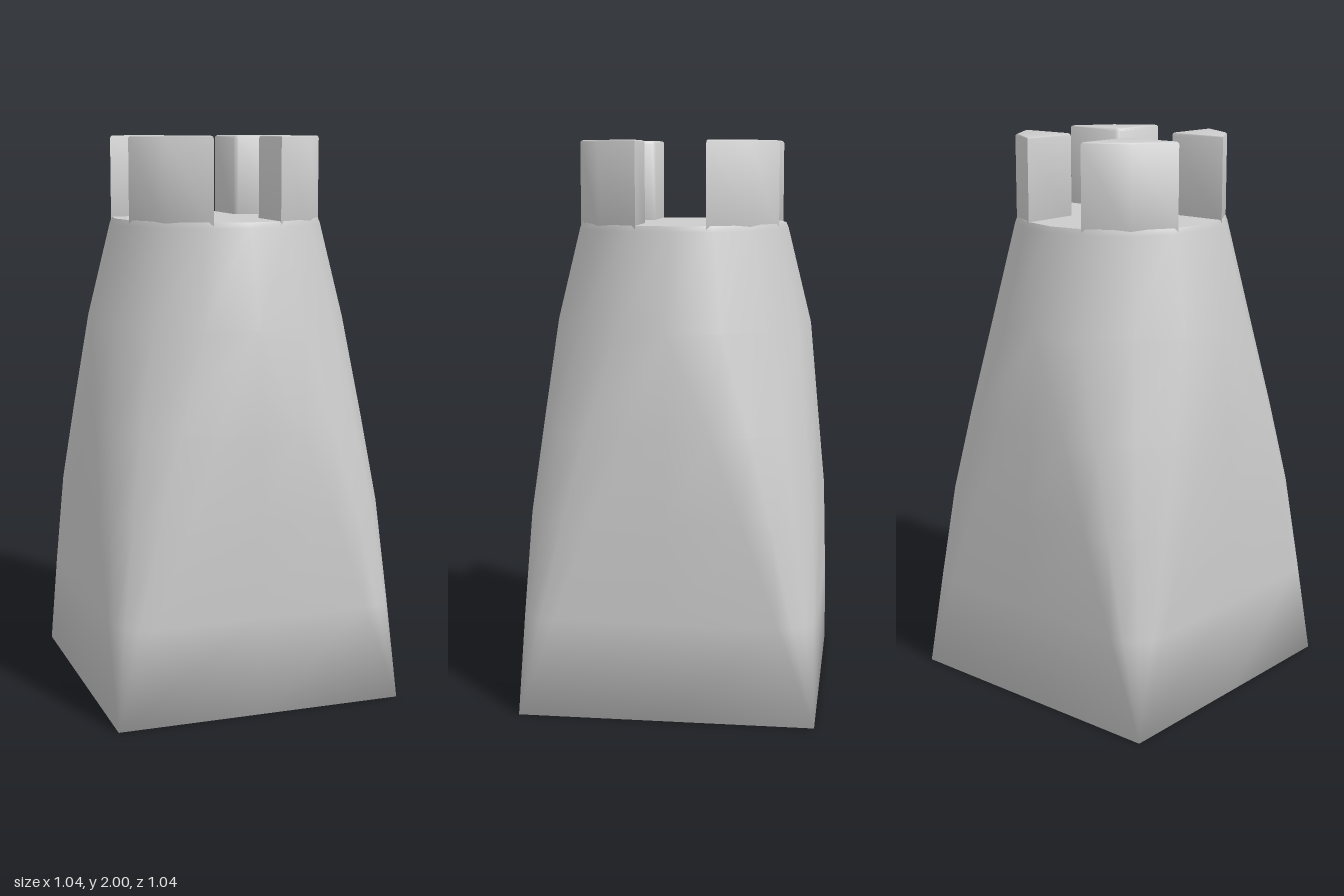
import * as THREE from 'three';
import { mergeVertices, toCreasedNormals } from 'three/addons/utils/BufferGeometryUtils.js';

// Rounded square outline: half width a, corner radius r, as 24 points
function outline(a, r, y) {
  const points = [];
  for (let k = 0; k < 4; k++) {
    const turn = k * Math.PI / 2, c = Math.cos(turn), s = Math.sin(turn);
    const add = (x, z) => points.push([x * c - z * s, y, x * s + z * c]);
    for (let i = 0; i <= 4; i++) {
      const t = i * Math.PI / 8;
      add(a - r + r * Math.cos(t), a - r + r * Math.sin(t));
    }
    add(0, a);
  }
  return points;
}

// Skin a list of rings with quads and smooth the shared vertices
function loft(rings) {
  const n = rings[0].length, index = [];
  for (let i = 0; i < rings.length - 1; i++) {
    for (let j = 0; j < n; j++) {
      const a = i * n + j, b = i * n + (j + 1) % n;
      index.push(a, a + n, b, b, a + n, b + n);
    }
  }
  const geometry = new THREE.BufferGeometry();
  geometry.setAttribute('position', new THREE.Float32BufferAttribute(rings.flat(2), 3));
  geometry.setIndex(index);
  const merged = mergeVertices(geometry, 1e-4);
  merged.computeVertexNormals();
  return merged;
}

export function createModel() {
  const group = new THREE.Group();
  const material = new THREE.MeshStandardMaterial({ color: 0xcccccc });
  const add = (name, geometry, parent = group) => {
    const mesh = new THREE.Mesh(geometry, material);
    mesh.name = name;
    parent.add(mesh);
    return mesh;
  };

  // Tower body: closed square base blending into a round top
  // half width, corner radius, height
  const sections = [
    [0, 0, 0], [0.3, 0, 0], [0.52, 0, 0], [0.52, 0.13, 0.35], [0.515, 0.25, 0.7],
    [0.492, 0.34, 1.0], [0.467, 0.467, 1.35], [0.382, 0.382, 1.69], [0.374, 0.374, 1.71],
  ];
  add('towerBody', loft(sections.map(([a, r, y]) => outline(a, r, y))));

  // Flat floor at the top
  const floor = new THREE.CircleGeometry(0.374, 16);
  floor.rotateX(-Math.PI / 2);
  floor.translate(0, 1.71, 0);
  add('topFloor', floor);

  // Four corner battlements, softly bevelled
  const inner = 0.122, outer = 0.355, mid = 0.266, bevel = 0.01, round = 0.012;
  const shape = new THREE.Shape();
  shape.moveTo(inner + round, inner);
  shape.lineTo(outer, inner);
  shape.lineTo(mid, mid);
  shape.lineTo(inner, outer);
  shape.lineTo(inner, inner + round);
  shape.closePath();
  const block = new THREE.ExtrudeGeometry(shape, {
    depth: 0.3, bevelEnabled: true, bevelSize: bevel, bevelThickness: bevel,
    bevelOffset: -bevel, bevelSegments: 3,
  });
  block.rotateX(-Math.PI / 2);
  block.translate(0, 2 - 0.3 - bevel, 0);
  const battlement = toCreasedNormals(block, 0.9);

  const battlements = new THREE.Group();
  battlements.name = 'battlements';
  for (let k = 0; k < 4; k++) {
    add('battlement', battlement, battlements).rotation.y = k * Math.PI / 2;
  }
  group.add(battlements);
  return group;
}
